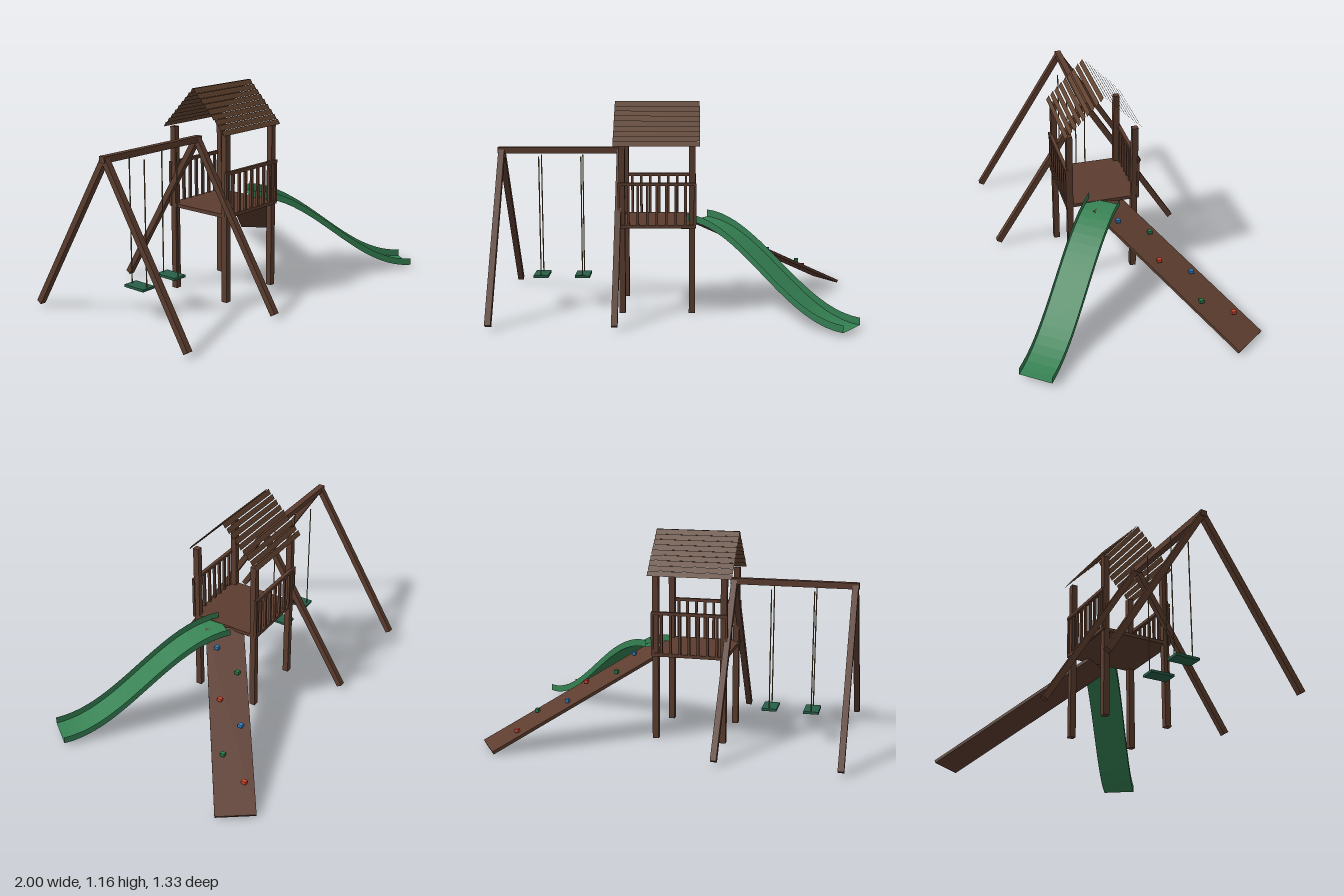
import * as THREE from 'three';

const mat = (name, color, extra = {}) => {
  const m = new THREE.MeshStandardMaterial({ color, ...extra });
  m.name = name;
  return m;
};

export function createModel() {
  const wood = mat('dark wood', 0x5c3d2f);
  const roofWood = mat('roof wood', 0x634430, { side: THREE.DoubleSide });
  const green = mat('slide green', 0x358153, { side: THREE.DoubleSide, flatShading: true });
  const seatGreen = mat('seat green', 0x275f47);
  const rope = mat('rope', 0x75653f);
  const red = mat('hold red', 0xd0432f);
  const blue = mat('hold blue', 0x2f80c4);
  const holdGreen = mat('hold green', 0x267d4a);

  const root = new THREE.Group();
  root.name = 'playset';
  const group = (name, parent = root) => {
    const g = new THREE.Group();
    g.name = name;
    parent.add(g);
    return g;
  };
  const box = (parent, name, material, size, pos) => {
    const m = new THREE.Mesh(new THREE.BoxGeometry(...size), material);
    m.name = name;
    m.position.set(...pos);
    parent.add(m);
    return m;
  };
  // Square beam running from a to b
  const beam = (parent, name, material, a, b, w) => {
    const p = new THREE.Vector3(...a), q = new THREE.Vector3(...b);
    const m = box(parent, name, material, [w, p.distanceTo(q), w], p.clone().lerp(q, 0.5).toArray());
    m.quaternion.setFromUnitVectors(new THREE.Vector3(0, 1, 0), q.sub(p).normalize());
    return m;
  };

  const CZ = 0.016; // centre line of the tower and swing
  const CX = -0.102;

  // Tower: posts and platform
  const tower = group('tower');
  for (const sx of [-1, 1]) for (const sz of [-1, 1])
    box(tower, 'post', wood, [0.034, 0.93, 0.034], [CX + sx * 0.192, 0.465, CZ + sz * 0.186]);
  box(tower, 'platform', wood, [0.418, 0.02, 0.404], [CX, 0.486, CZ]);

  // Railings on the front and back
  for (const s of [-1, 1]) {
    const rail = group(s > 0 ? 'frontRailing' : 'backRailing', tower);
    const z = CZ + s * 0.204;
    box(rail, 'topRail', wood, [0.425, 0.018, 0.02], [CX, 0.722, z]);
    box(rail, 'bottomRail', wood, [0.425, 0.018, 0.014], [CX, 0.487, z]);
    for (let i = 0; i < 9; i++)
      box(rail, 'baluster', wood, [0.014, 0.24, 0.014], [CX + (i - 4) * 0.052, 0.605, z]);
  }

  // Louvred gable roof made of thin slats
  const roof = group('roof');
  const slat = new THREE.PlaneGeometry(0.472, 0.0305);
  for (const s of [-1, 1]) for (let i = 0; i < 9; i++) {
    const m = new THREE.Mesh(slat, roofWood);
    m.name = 'roofSlat';
    m.position.set(-0.105, 1.147 - i * 0.0255, 0.012 + s * (0.0125 + i * 0.0247));
    m.rotation.x = -s * 0.52;
    roof.add(m);
  }

  // Swing frame
  const swing = group('swingFrame');
  box(swing, 'topBeam', wood, [0.705, 0.034, 0.036], [-0.6475, 0.885, 0.014]);
  for (const x of [-0.979, -0.315]) for (const s of [-1, 1])
    beam(swing, 'frameLeg', wood, [x, 0.888, 0.014], [x, 0.018, 0.014 + s * 0.543], 0.033);

  // Swings
  for (const x of [-0.765, -0.53]) {
    const g = group('swing', swing);
    box(g, 'seat', seatGreen, [0.084, 0.014, 0.136], [x, 0.171, 0.014]);
    for (const s of [-1, 1]) {
      const m = new THREE.Mesh(new THREE.CylinderGeometry(0.0035, 0.0035, 0.68, 6), rope);
      m.name = 'rope';
      m.position.set(x, 0.514, 0.014 + s * 0.054);
      g.add(m);
    }
  }

  // Climbing ramp with holds; local x runs down the ramp
  const ANGLE = Math.PI / 5;
  const ramp = group('climbingRamp');
  ramp.position.set(0.121, 0, 0.006);
  ramp.rotation.y = ANGLE;
  const board = box(ramp, 'rampBoard', wood, [1.105, 0.017, 0.215], [0.5, 0.246, 0]);
  board.rotation.z = -Math.atan2(0.469, 1);
  const holdMats = [blue, holdGreen, red];
  for (let i = 0; i < 6; i++) {
    const hold = box(ramp, 'climbingHold', holdMats[i % 3], [0.021, 0.019, 0.025],
      [0.132 + i * 0.144, 0.446 - i * 0.068, i % 2 ? -0.055 : 0.048]);
    hold.rotation.y = -ANGLE;
  }

  // Slide: U-shaped section swept along an S-curve
  const N = 20, LEN = 0.985, HALF = 0.093, WALL = 0.04;
  const section = [[-HALF, WALL], [-HALF, 0], [HALF, 0], [HALF, WALL]];
  const pos = [], index = [];
  for (let i = 0; i <= N; i++) {
    const t = i / N;
    const y = 0.02 + 0.475 * (0.5 + 0.5 * Math.cos(Math.PI * t));
    for (const [z, h] of section) pos.push(t * LEN, y + h, z);
  }
  for (let i = 0; i < N; i++) for (let j = 0; j < 3; j++) {
    const a = i * 4 + j, b = a + 1, c = a + 4, d = a + 5;
    index.push(a, b, c, b, d, c);
  }
  const geo = new THREE.BufferGeometry();
  geo.setAttribute('position', new THREE.Float32BufferAttribute(pos, 3));
  geo.setIndex(index);
  geo.computeVertexNormals();
  const slide = new THREE.Mesh(geo, green);
  slide.name = 'slide';
  slide.position.set(0.121, 0, 0.008);
  slide.rotation.y = -ANGLE;
  root.add(slide);

  return root;
}
